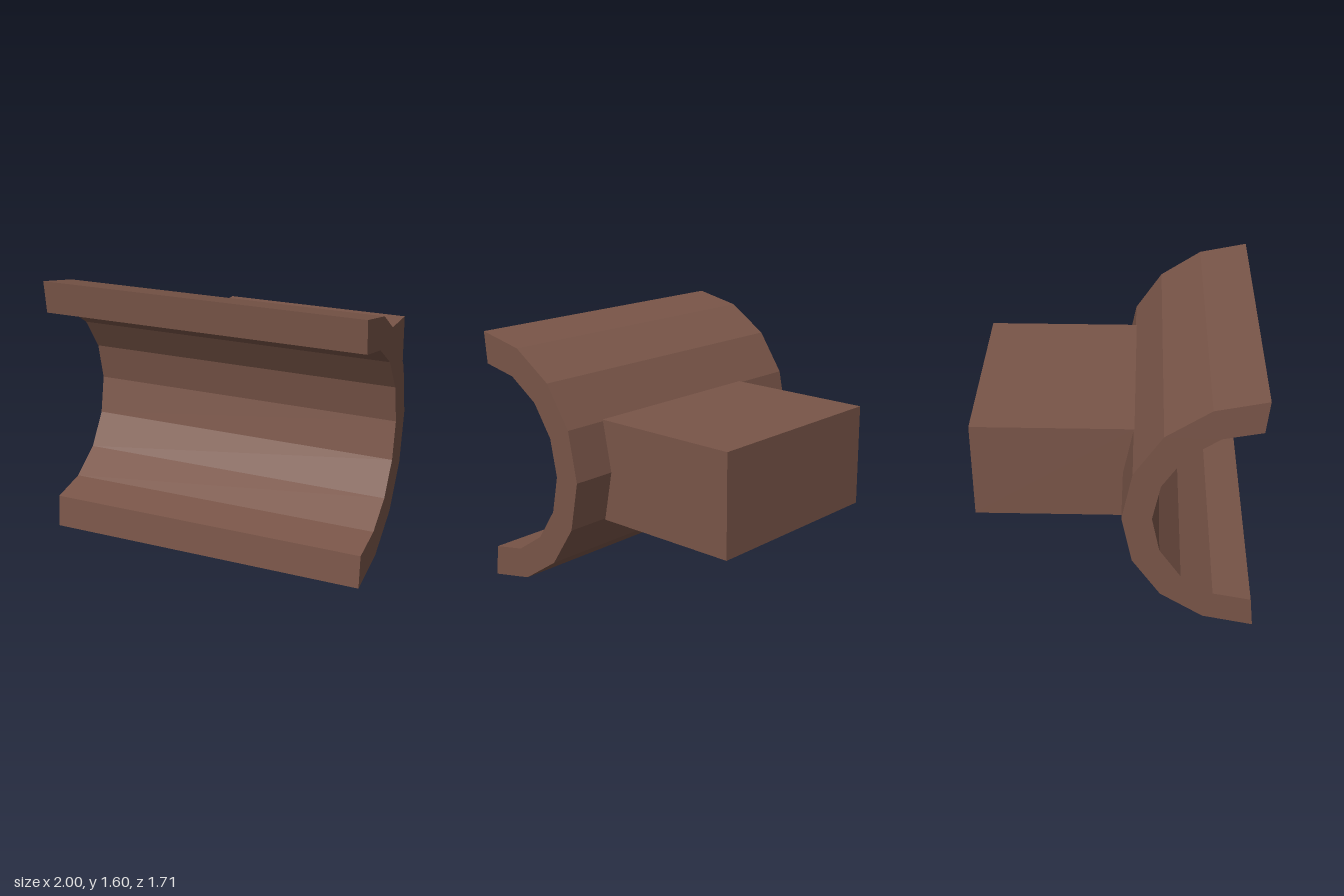
import * as THREE from 'three';

export function createModel() {
  const model = new THREE.Group();
  const brown = new THREE.MeshStandardMaterial({ color: 0x795548 });
  brown.name = 'brown';

  // Upper half of the trough's section as [z, y above the axis]
  const axisY = 0.8;
  const outer = [[0.855, 0.8], [0.55, 0.737], [0.29, 0.565], [0.12, 0.31], [0.058, 0]];
  const inner = [[0.835, 0.602], [0.605, 0.557], [0.41, 0.427], [0.28, 0.231], [0.233, 0]];

  // Mirror a half arc below the axis to get the full arc, top to bottom
  const fullArc = (half) => [
    ...half,
    ...half.slice(0, -1).reverse().map(([z, y]) => [z, -y]),
  ];
  const section = [...fullArc(outer), ...fullArc(inner).reverse()];
  const shape = new THREE.Shape(section.map(([z, y]) => new THREE.Vector2(-z, y + axisY)));

  // Half-pipe trough running along x, open to the front
  const troughGeometry = new THREE.ExtrudeGeometry(shape, { depth: 2, bevelEnabled: false });
  troughGeometry.translate(0, 0, -1).rotateY(Math.PI / 2);
  const trough = new THREE.Mesh(troughGeometry, brown);
  trough.name = 'trough';

  // Mounting block set into the back of the trough, a little off centre
  const block = new THREE.Mesh(new THREE.BoxGeometry(1.28, 0.638, 0.98), brown);
  block.name = 'mountingBlock';
  block.position.set(0.08, axisY, -0.365);

  model.add(trough, block);
  return model;
}
